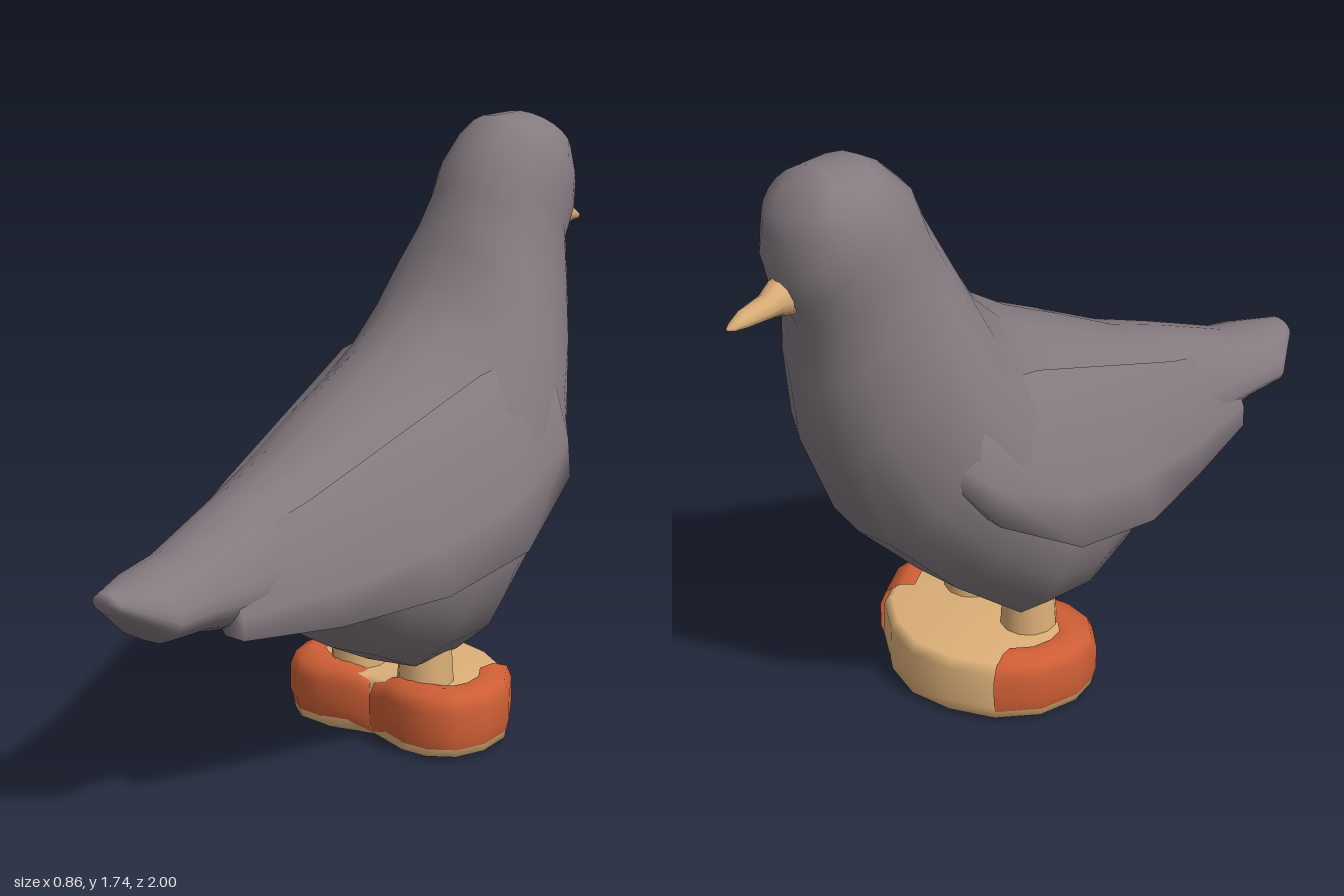
import * as THREE from 'three';

const plumage = new THREE.MeshStandardMaterial({ name: 'greyPlumage', color: 0x847a80 });
const orange = new THREE.MeshStandardMaterial({ name: 'orangeSkin', color: 0xcf5f36, side: THREE.DoubleSide });
const tan = new THREE.MeshStandardMaterial({ name: 'tanHorn', color: 0xdcaf78 });

// Closed skin over a row of rings, with both ends capped; faces are turned outward.
function loft(rings) {
  const n = rings[0].length, pos = rings.flat(2), idx = [];
  for (let r = 0; r < rings.length - 1; r++) {
    for (let i = 0; i < n; i++) {
      const a = r * n + i, b = r * n + (i + 1) % n;
      idx.push(a, b, b + n, a, b + n, a + n);
    }
  }
  [rings[0], rings[rings.length - 1]].forEach((ring, end) => {
    const c = pos.length / 3, base = end ? (rings.length - 1) * n : 0;
    for (let k = 0; k < 3; k++) pos.push(ring.reduce((s, p) => s + p[k], 0) / n);
    for (let i = 0; i < n; i++) {
      const a = base + i, b = base + (i + 1) % n;
      if (end) idx.push(a, b, c); else idx.push(b, a, c);
    }
  });
  const v = (i) => new THREE.Vector3().fromArray(pos, i * 3);
  let volume = 0;
  for (let i = 0; i < idx.length; i += 3) volume += v(idx[i]).dot(v(idx[i + 1]).cross(v(idx[i + 2])));
  if (volume < 0) idx.reverse();
  return finish(pos, idx);
}

function finish(pos, idx) {
  const g = new THREE.BufferGeometry();
  g.setAttribute('position', new THREE.Float32BufferAttribute(pos, 3));
  g.setIndex(idx);
  g.computeVertexNormals();
  return g;
}

function add(group, name, geometry, material) {
  const m = new THREE.Mesh(geometry, material);
  m.name = name;
  group.add(m);
  return m;
}

// Half cross-section of the trunk, top to bottom: share of width, share of height
const trunk = [[0, 1], [0.3, 0.97], [0.58, 0.87], [0.8, 0.72], [0.94, 0.55], [1, 0.4],
  [0.95, 0.3], [0.87, 0.22], [0.74, 0.12], [0.45, 0.02], [0, 0]];

// Tail to crown: top z, top y, bottom z, bottom y, half width, roundness
const bodySections = [
  [1.0, 0.705, 1.0, 0.65, 0.05, 0.5],
  [0.87, 0.73, 0.88, 0.55, 0.145, 0],
  [0.75, 0.755, 0.75, 0.545, 0.155, 0],
  [0.5, 0.86, 0.5, 0.505, 0.2, 0],
  [0.3, 0.935, 0.3, 0.47, 0.27, 0],
  [0.1, 1.04, 0.14, 0.32, 0.34, 0],
  [-0.1, 1.14, -0.02, 0.24, 0.38, 0],
  [-0.22, 1.22, -0.2, 0.245, 0.395, 0],
  [-0.3, 1.3, -0.42, 0.42, 0.38, 0.2],
  [-0.35, 1.4, -0.62, 0.63, 0.325, 0.6],
  [-0.38, 1.47, -0.75, 0.92, 0.255, 0.9],
  [-0.42, 1.55, -0.785, 1.15, 0.215, 1],
  [-0.45, 1.63, -0.785, 1.32, 0.195, 1],
  [-0.52, 1.7, -0.83, 1.4, 0.185, 1],
  [-0.58, 1.735, -0.85, 1.48, 0.165, 1],
  [-0.7, 1.735, -0.84, 1.58, 0.12, 1],
  [-0.75, 1.71, -0.82, 1.63, 0.06, 1],
];

function bodyRing([tz, ty, bz, by, w, round]) {
  const half = trunk.map(([x, u], i) => {
    const a = (i / 10) * Math.PI;
    const k = THREE.MathUtils.lerp(u, 0.5 + 0.5 * Math.cos(a), round);
    return [w * THREE.MathUtils.lerp(x, Math.sin(a), round), by + (ty - by) * k, bz + (tz - bz) * k];
  });
  return [...half, ...half.slice(1, -1).reverse().map(([x, y, z]) => [-x, y, z])];
}

// Breast to tail: z, upper y, upper x, lower y, lower x
const wingSections = [
  [-0.57, 1.03, 0.22, 0.93, 0.25],
  [-0.45, 1.12, 0.27, 0.76, 0.385],
  [-0.2, 1.08, 0.25, 0.61, 0.43],
  [0.1, 0.96, 0.2, 0.55, 0.395],
  [0.4, 0.84, 0.15, 0.515, 0.27],
  [0.68, 0.74, 0.08, 0.53, 0.175],
];

function wingRing([z, y1, x1, y2, x2], side) {
  const at = (t, bulge) => [side * (x1 + (x2 - x1) * t + bulge), y1 + (y2 - y1) * t, z];
  return [at(0, 0), at(0.33, 0.025), at(0.7, 0.025), at(1, 0), at(1, -0.07), at(0.6, -0.08), at(0.1, -0.06)];
}

// Half outline of the joined feet, heel notch to toe: x, z
const footOutline = [[0, -0.03], [0.07, -0.01], [0.15, 0.015], [0.24, 0.01], [0.31, -0.04],
  [0.34, -0.13], [0.325, -0.25], [0.25, -0.36], [0.13, -0.43], [0, -0.46]];

function footRing(y, s) {
  const half = footOutline.map(([x, z]) => [x * s, y, -0.22 + (z + 0.22) * s]);
  return [...half, ...half.slice(1, -1).reverse().map(([x, yy, z]) => [-x, yy, z])];
}

// Orange skin wrapped around the heel and outer side of one foot
function footSkin(side) {
  const rows = [[0.99, 0.035], [1.035, 0.07], [1.035, 0.145], [0.95, 0.185], [0.72, 0.2], [0.5, 0.192]];
  const edge = footOutline.slice(0, 8), n = edge.length, pos = [], idx = [];
  rows.forEach(([s, y]) => edge.forEach(([x, z], i) => {
    const dip = i === 0 ? 0.02 : 0;
    pos.push(side * Math.max(0, 0.17 + (x - 0.17) * s), y - dip, -0.18 + (z + 0.18) * s);
  }));
  for (let r = 0; r < rows.length - 1; r++) {
    for (let i = 0; i < n - 1; i++) {
      const a = r * n + i, q = [a, a + 1, a + n + 1, a, a + n + 1, a + n];
      idx.push(...(side > 0 ? q : q.reverse()));
    }
  }
  return finish(pos, idx);
}

// Elliptical ring facing along z
function ovalRing(z, y, rx, ry) {
  return Array.from({ length: 10 }, (_, i) => {
    const a = (i / 10) * Math.PI * 2;
    return [rx * Math.cos(a), y + ry * Math.sin(a), z];
  });
}

export function createModel() {
  const bird = new THREE.Group();
  bird.name = 'bird';

  // Trunk, tail, neck and head in one skin
  add(bird, 'body', loft(bodySections.map(bodyRing)), plumage);

  // Beak with a broad base on the face
  add(bird, 'beak', loft([
    ovalRing(-0.79, 1.42, 0.055, 0.06), ovalRing(-0.845, 1.425, 0.045, 0.05),
    ovalRing(-0.88, 1.41, 0.036, 0.033), ovalRing(-0.95, 1.4, 0.026, 0.025),
    ovalRing(-0.985, 1.39, 0.015, 0.012), ovalRing(-1.0, 1.388, 0.004, 0.004),
  ]), tan);

  // Sole and toes
  add(bird, 'feet', loft([footRing(0, 0.9), footRing(0.012, 0.98), footRing(0.05, 1),
    footRing(0.15, 0.98), footRing(0.18, 0.9)]), tan);

  for (const [side, label] of [[1, 'left'], [-1, 'right']]) {
    add(bird, label + 'Wing', loft(wingSections.map((s) => wingRing(s, side))), plumage);
    add(bird, label + 'FootSkin', footSkin(side), orange);
    const leg = add(bird, label + 'Leg', new THREE.CylinderGeometry(0.075, 0.085, 0.16, 12), tan);
    leg.position.set(side * 0.125, 0.21, -0.125);
  }
  return bird;
}
